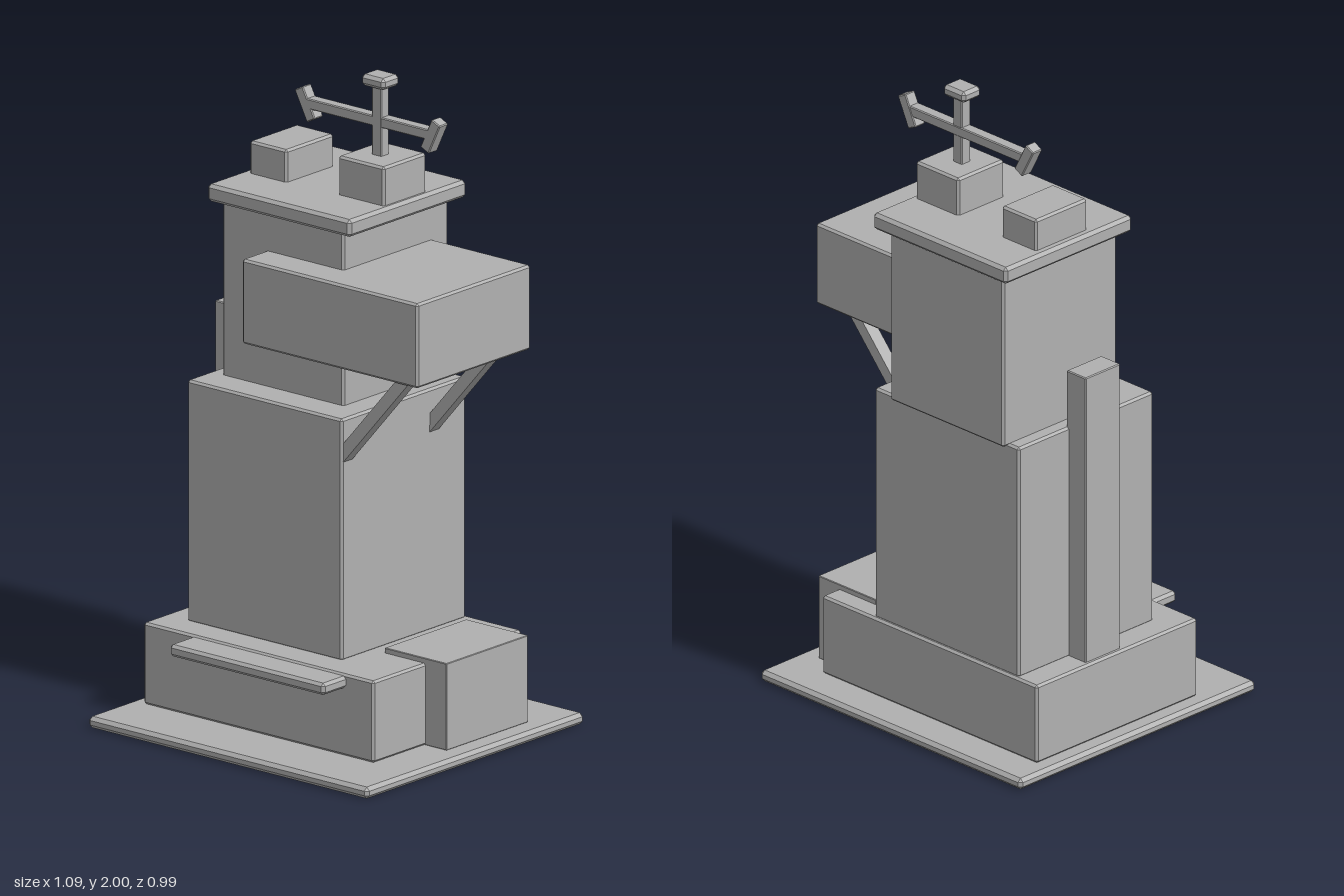
import * as THREE from 'three';
import { ConvexGeometry } from 'three/addons/geometries/ConvexGeometry.js';

// Box with all edges chamfered by c
function chamferBox(w, h, d, c) {
  const x = w / 2, y = h / 2, z = d / 2, points = [];
  for (const sx of [-1, 1]) for (const sy of [-1, 1]) for (const sz of [-1, 1]) {
    points.push(
      new THREE.Vector3(sx * x, sy * (y - c), sz * (z - c)),
      new THREE.Vector3(sx * (x - c), sy * y, sz * (z - c)),
      new THREE.Vector3(sx * (x - c), sy * (y - c), sz * z));
  }
  return new ConvexGeometry(points);
}

export function createModel() {
  const model = new THREE.Group();
  model.name = 'tower';
  const grey = new THREE.MeshStandardMaterial({ color: 0xb0b0b0 });
  grey.name = 'grey';

  function add(name, geometry, x, y, z, parent = model) {
    const mesh = new THREE.Mesh(geometry, grey);
    mesh.name = name;
    mesh.position.set(x, y, z);
    parent.add(mesh);
    return mesh;
  }

  // Block given by its extents along each axis
  function block(name, [x0, x1], [y0, y1], [z0, z1], c = 0.007, parent = model) {
    const w = x1 - x0, h = y1 - y0, d = z1 - z0;
    const geometry = c > 0 ? chamferBox(w, h, d, c) : new THREE.BoxGeometry(w, h, d);
    return add(name, geometry, (x0 + x1) / 2, (y0 + y1) / 2, (z0 + z1) / 2, parent);
  }

  // Ground level
  block('basePlate', [-0.547, 0.547], [0, 0.036], [-0.495, 0.495], 0.011);
  block('podium', [-0.5, 0.4], [0.036, 0.29], [-0.38, 0.295]);
  block('sideAnnex', [0.24, 0.482], [0.036, 0.306], [-0.313, 0.058], 0.002);
  block('entranceCanopy', [-0.312, 0.292], [0.247, 0.284], [0.25, 0.397], 0.009);

  // Stacked tower blocks
  block('lowerTower', [-0.415, 0.19], [0.285, 1.037], [-0.37, 0.195]);
  block('upperTower', [-0.37, 0.105], [1.03, 1.59], [-0.39, 0.088]);
  block('roofSlab', [-0.4, 0.16], [1.578, 1.632], [-0.41, 0.124], 0.01);
  block('cantilever', [-0.197, 0.49], [1.195, 1.458], [-0.317, 0.2]);
  block('sideShaft', [-0.485, -0.405], [0.285, 1.22], [-0.16, -0.014], 0.003);

  // Diagonal struts under the cantilever
  for (const z of [0.163, -0.23]) {
    const from = new THREE.Vector3(0.175, 0.915, z + 0.004);
    const to = new THREE.Vector3(0.428, 1.21, z - 0.002);
    const strut = add('strut', new THREE.BoxGeometry(0.038, from.distanceTo(to), 0.042), 0, 0, 0);
    strut.position.copy(from).lerp(to, 0.5);
    strut.quaternion.setFromUnitVectors(new THREE.Vector3(0, 1, 0), to.sub(from).normalize());
  }

  // Roof boxes
  block('roofVent', [-0.374, -0.228], [1.625, 1.732], [-0.257, -0.04]);
  block('mastPlinth', [-0.037, 0.143], [1.625, 1.752], [-0.246, -0.051]);

  // Mast with crossbar and angled end plates
  const mast = new THREE.Group();
  mast.name = 'mast';
  model.add(mast);
  block('mastPole', [0.028, 0.066], [1.745, 1.975], [-0.166, -0.129], 0.003, mast);
  block('mastCap', [0.0, 0.091], [1.964, 2.0], [-0.186, -0.11], 0.01, mast);
  block('crossbar', [-0.23, 0.262], [1.84, 1.872], [-0.168, -0.13], 0.003, mast);
  for (const [x, tilt] of [[-0.235, 0.48], [0.255, -0.44]]) {
    add('endPlate', chamferBox(0.036, 0.104, 0.04, 0.003), x, 1.852, -0.15, mast).rotation.z = tilt;
  }

  return model;
}
